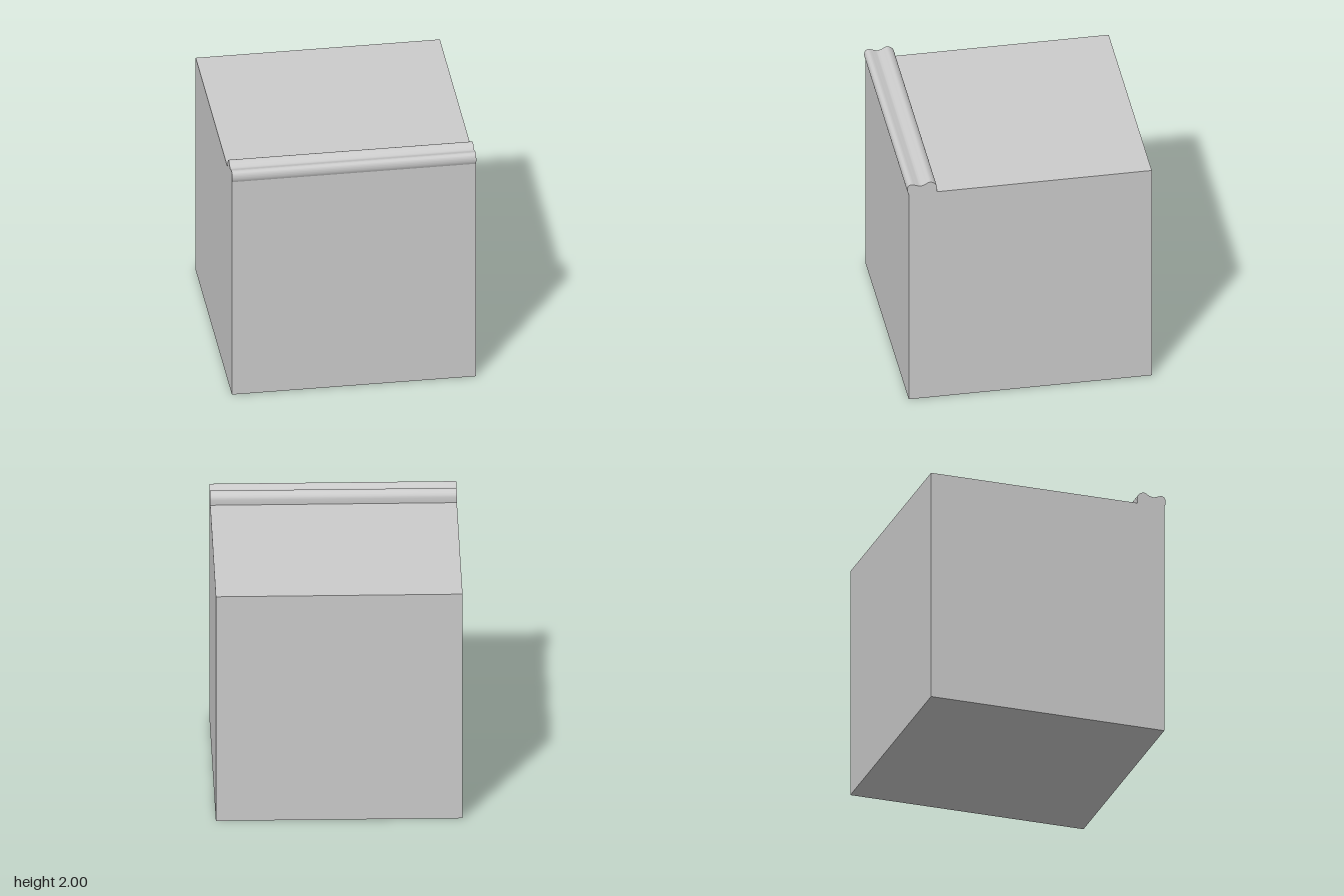
import * as THREE from 'three';
import { toCreasedNormals } from 'three/addons/utils/BufferGeometryUtils.js';

const WIDTH = 1.904, BODY_TOP = 1.904, FRONT = 0.947, BACK = -0.957;

export function createModel() {
  const group = new THREE.Group();
  const material = new THREE.MeshStandardMaterial({ color: 0xcccccc });

  // Solid cube body
  const depth = FRONT - BACK;
  const body = new THREE.Mesh(new THREE.BoxGeometry(WIDTH, BODY_TOP, depth), material);
  body.name = 'body';
  body.position.set(0, BODY_TOP / 2, (FRONT + BACK) / 2);
  group.add(body);

  // Moulded lip along the top front edge: profile given as (z, y)
  const profile = new THREE.Shape();
  profile.moveTo(0.727, BODY_TOP);
  profile.lineTo(FRONT, BODY_TOP);
  profile.splineThru([
    [0.957, 1.93], [0.957, 1.962], [0.945, 1.985], [0.922, 1.992], [0.89, 1.982],
    [0.855, 1.972], [0.82, 1.982], [0.795, 1.997], [0.772, 1.999], [0.745, 1.985],
    [0.729, 1.962], [0.726, 1.935], [0.727, BODY_TOP],
  ].map(([z, y]) => new THREE.Vector2(z, y)));

  const extruded = new THREE.ExtrudeGeometry(profile, {
    depth: WIDTH, bevelEnabled: false, curveSegments: 5,
  });
  extruded.translate(0, 0, -WIDTH / 2).rotateY(-Math.PI / 2);
  const lip = new THREE.Mesh(toCreasedNormals(extruded, 0.7), material);
  lip.name = 'frontLip';
  group.add(lip);

  return group;
}
